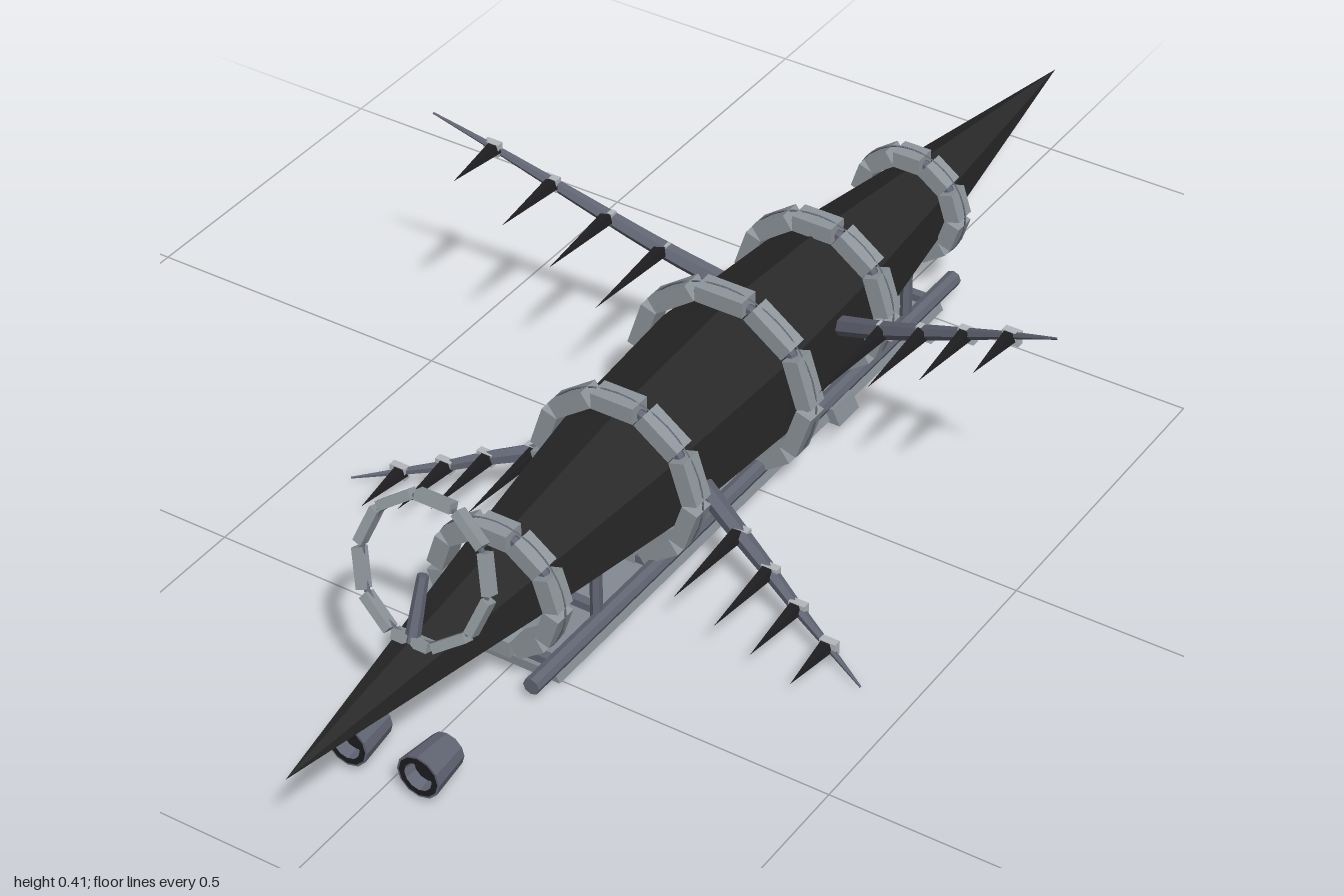
import * as THREE from 'three';

const mat = (name, color) => {
  const m = new THREE.MeshStandardMaterial({ color, flatShading: true });
  m.name = name;
  return m;
};

export function createModel() {
  const hullBlack = mat('hullBlack', 0x292929);
  const spikeBlack = mat('spikeBlack', 0x1e1e20);
  const ringGrey = mat('ringGrey', 0x8f979c);
  const steel = mat('steel', 0x626674);
  const plateGrey = mat('plateGrey', 0x838b92);
  const collarGrey = mat('collarGrey', 0xb4b8bc);
  const model = new THREE.Group();

  const add = (parent, name, geo, material, x = 0, y = 0, z = 0) => {
    const mesh = new THREE.Mesh(geo, material);
    mesh.name = name;
    mesh.position.set(x, y, z);
    parent.add(mesh);
    return mesh;
  };

  // Six-sided spindle hull, pointed at both ends, ridge on top
  const profile = [[0, -1], [0.066, -0.55], [0.104, -0.28], [0.122, -0.03],
    [0.107, 0.24], [0.069, 0.53], [0, 1]].map(([r, z]) => new THREE.Vector2(r, z));
  const hull = add(model, 'hull', new THREE.LatheGeometry(profile, 6).rotateX(Math.PI / 2), hullBlack, 0, 0.161, 0);
  hull.rotation.x = -0.0055;

  // Segmented band in the XY plane: separate blocks on a thinner core
  const segmentedRing = (name, radius, thick, depth, count) => {
    const g = new THREE.Group();
    g.name = name;
    const mid = radius - thick / 2;
    const len = 2 * mid * Math.tan(Math.PI / count) * 0.88;
    for (let i = 0; i < count; i++) {
      const a = Math.PI / 2 + (i * 2 * Math.PI) / count;
      const block = add(g, name + 'Block', new THREE.BoxGeometry(thick, len, depth), ringGrey,
        Math.cos(a) * mid, Math.sin(a) * mid, 0);
      block.rotation.z = a;
    }
    add(g, name + 'Core', new THREE.TorusGeometry(mid, thick * 0.32, 6, count * 2), steel);
    model.add(g);
    return g;
  };

  // Five hull rings, each with a fine outer wire
  for (const [z, r] of [[0.53, 0.104], [0.24, 0.134], [-0.03, 0.15], [-0.28, 0.128], [-0.55, 0.092]]) {
    const ring = segmentedRing('hullRing', r, 0.026, 0.036, 10);
    ring.position.set(0, 0.16, z);
    add(ring, 'ringWire', new THREE.TorusGeometry(r + 0.003, 0.0015, 4, 40), steel);
  }

  // Tilted hoop above the nose, with a short post inside
  const hoop = segmentedRing('noseHoop', 0.106, 0.014, 0.018, 10);
  hoop.position.set(0, 0.296, 0.693);
  hoop.rotation.x = -0.33;
  add(hoop, 'hoopPost', new THREE.CylinderGeometry(0.008, 0.011, 0.1, 6), steel, 0, -0.056, 0);

  // Swept arm: tube narrowing to a point, carrying forward spikes
  const spikedArm = (name, side, points, spikeXs, tipZ) => {
    const arm = new THREE.Group();
    arm.name = name;
    const curve = new THREE.CatmullRomCurve3(points.map(([x, y, z]) => new THREE.Vector3(side * x, y, z)));
    const rings = 12, sides = 6;
    const geo = new THREE.TubeGeometry(curve, rings, 0.015, sides);
    const p = geo.attributes.position, v = new THREE.Vector3();
    for (let i = 0; i < p.count; i++) {
      const u = Math.floor(i / (sides + 1)) / rings;
      const centre = curve.getPointAt(u);
      v.fromBufferAttribute(p, i).sub(centre).multiplyScalar(1 - 0.9 * Math.pow(u, 1.5)).add(centre);
      p.setXYZ(i, v.x, v.y, v.z);
    }
    geo.computeVertexNormals();
    add(arm, name + 'Beam', geo, steel);
    for (const x of spikeXs) {
      // Find the point on the arm at this distance from the hull
      let lo = 0, hi = 1;
      for (let k = 0; k < 20; k++) {
        const m = (lo + hi) / 2;
        if (Math.abs(curve.getPoint(m).x) < x) lo = m; else hi = m;
      }
      const c = curve.getPoint(lo);
      const length = tipZ - c.z;
      add(arm, 'spikeCollar', new THREE.BoxGeometry(0.026, 0.021, 0.012), collarGrey, c.x + side * 0.003, c.y, c.z);
      add(arm, 'spike', new THREE.ConeGeometry(0.0125, length, 5).rotateX(Math.PI / 2),
        spikeBlack, c.x, c.y, c.z + length / 2);
    }
    model.add(arm);
  };

  for (const side of [1, -1]) {
    spikedArm('upperArm', side,
      [[0.09, 0.185, -0.19], [0.187, 0.235, -0.155], [0.345, 0.32, -0.107], [0.43, 0.367, -0.08], [0.515, 0.412, -0.052]],
      [0.187, 0.265, 0.345, 0.428], 0.022);
    spikedArm('lowerArm', side,
      [[0.09, 0.128, 0.168], [0.17, 0.1, 0.2], [0.235, 0.079, 0.226], [0.29, 0.056, 0.246], [0.36, 0.032, 0.272], [0.427, 0.01, 0.298]],
      [0.17, 0.235, 0.293, 0.357], 0.367);

    // Skid rail and struts to the hull
    add(model, 'skidRail', new THREE.CylinderGeometry(0.013, 0.013, 1.13, 8).rotateX(Math.PI / 2),
      steel, side * 0.068, 0.034, -0.005);
    for (const z of [0.39, -0.44])
      add(model, 'skidStrut', new THREE.CylinderGeometry(0.009, 0.009, 0.11, 6), steel, side * 0.06, 0.087, z);

    // Open-fronted pod below the nose
    const pod = new THREE.Group();
    pod.name = 'nosePod';
    pod.position.set(side * 0.058, 0.051, 0.77);
    add(pod, 'podShell', new THREE.LatheGeometry([[0, -0.033], [0.027, -0.033], [0.034, 0.033], [0.025, 0.033], [0.021, 0.012]]
      .map(([r, y]) => new THREE.Vector2(r, y)), 12).rotateX(Math.PI / 2), steel);
    add(pod, 'podBore', new THREE.CircleGeometry(0.0225, 12), spikeBlack, 0, 0, 0.013);
    add(pod, 'podRim', new THREE.RingGeometry(0.022, 0.031, 12), spikeBlack, 0, 0, 0.0335);
    model.add(pod);
  }

  // Belly plate and the wider clamp across it, both with sloping sides
  const bellySlab = (name, bottom, top, y0, y1, z, depth) => {
    const section = new THREE.Shape([[-bottom, y0], [bottom, y0], [top, y1], [-top, y1]]
      .map(([x, y]) => new THREE.Vector2(x, y)));
    add(model, name, new THREE.ExtrudeGeometry(section, { depth, bevelEnabled: false }), plateGrey, 0, 0, z);
  };
  bellySlab('bellyPlate', 0.08, 0.072, 0.009, 0.024, -0.52, 1.03);
  bellySlab('bellyClamp', 0.097, 0.085, 0.005, 0.03, -0.245, 0.055);

  // Cross bars between the rails
  for (let i = 0; i < 9; i++)
    add(model, 'crossBar', new THREE.BoxGeometry(0.13, 0.012, 0.014), steel, 0, 0.034, -0.5 + i * 0.125);

  return model;
}
